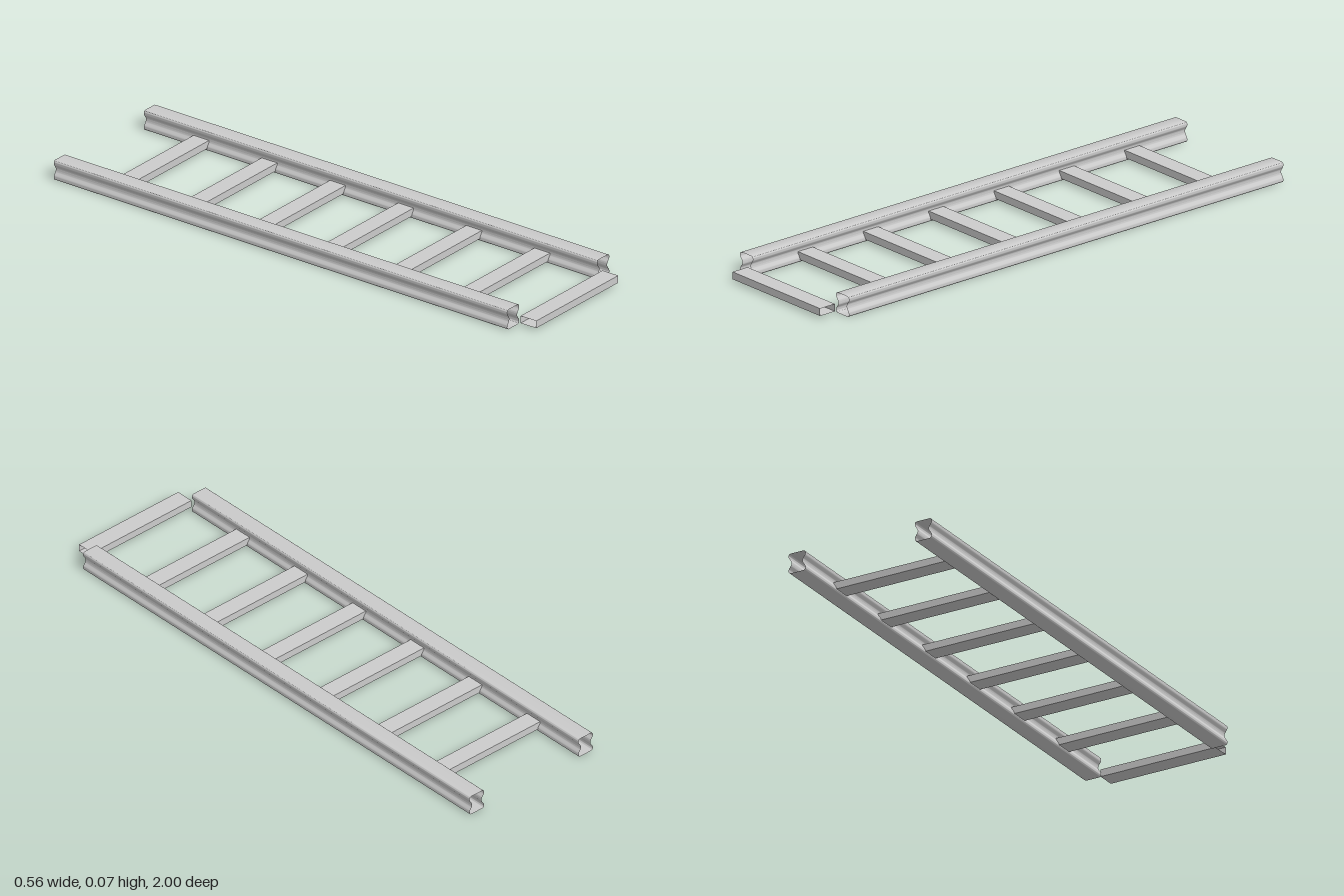
import * as THREE from 'three';
import { toCreasedNormals } from 'three/addons/utils/BufferGeometryUtils.js';

// Hollow open-ended bar: a counter-clockwise profile swept along z, centred
function hollowBar(profile, length) {
  const n = profile.length, pos = [], index = [];
  for (const z of [-length / 2, length / 2])
    for (const p of profile) pos.push(p.x, p.y, z);
  for (let i = 0; i < n; i++) {
    const j = (i + 1) % n;
    index.push(i, j, n + j, i, n + j, n + i);
  }
  const geo = new THREE.BufferGeometry();
  geo.setAttribute('position', new THREE.Float32BufferAttribute(pos, 3));
  geo.setIndex(index);
  return toCreasedNormals(geo, 0.7);
}

// Rail section: rounded corners, flat top and bottom, sides pinched inwards
function railProfile(w, h, r, dip) {
  const a = w / 2, b = h / 2;
  const s = new THREE.Shape();
  s.moveTo(a - r, -b);
  s.quadraticCurveTo(a, -b, a, -b + r);
  s.bezierCurveTo(a, -b + 2 * r, a - dip, -r, a - dip, 0);
  s.bezierCurveTo(a - dip, r, a, b - 2 * r, a, b - r);
  s.quadraticCurveTo(a, b, a - r, b);
  s.lineTo(-a + r, b);
  s.quadraticCurveTo(-a, b, -a, b - r);
  s.bezierCurveTo(-a, b - 2 * r, -a + dip, r, -a + dip, 0);
  s.bezierCurveTo(-a + dip, -r, -a, -b + 2 * r, -a, -b + r);
  s.quadraticCurveTo(-a, -b, -a + r, -b);
  const pts = s.getPoints(8);
  pts.pop(); // the last point repeats the first
  return pts;
}

export function createModel() {
  const model = new THREE.Group();
  model.name = 'ladder';
  const mat = new THREE.MeshStandardMaterial({ color: 0xcccccc, side: THREE.DoubleSide });

  // Two long side rails
  const railGeo = hollowBar(railProfile(0.066, 0.073, 0.01, 0.012), 1.92);
  for (const side of [1, -1]) {
    const rail = new THREE.Mesh(railGeo, mat);
    rail.name = side > 0 ? 'leftRail' : 'rightRail';
    rail.position.set(side * 0.247, 0.0365, -0.04);
    model.add(rail);
  }

  // Seven evenly spaced rungs, the last one just beyond the rail ends
  const w = 0.033, h = 0.0133;
  const rect = [[w, -h], [w, h], [-w, h], [-w, -h]].map(([x, y]) => new THREE.Vector2(x, y));
  const rungGeo = hollowBar(rect, 0.45).rotateY(Math.PI / 2);
  for (let i = 0; i < 7; i++) {
    const rung = new THREE.Mesh(rungGeo, mat);
    rung.name = 'rung' + (i + 1);
    rung.position.set(0, 0.0227, -0.765 + i * 0.2887);
    model.add(rung);
  }
  return model;
}
